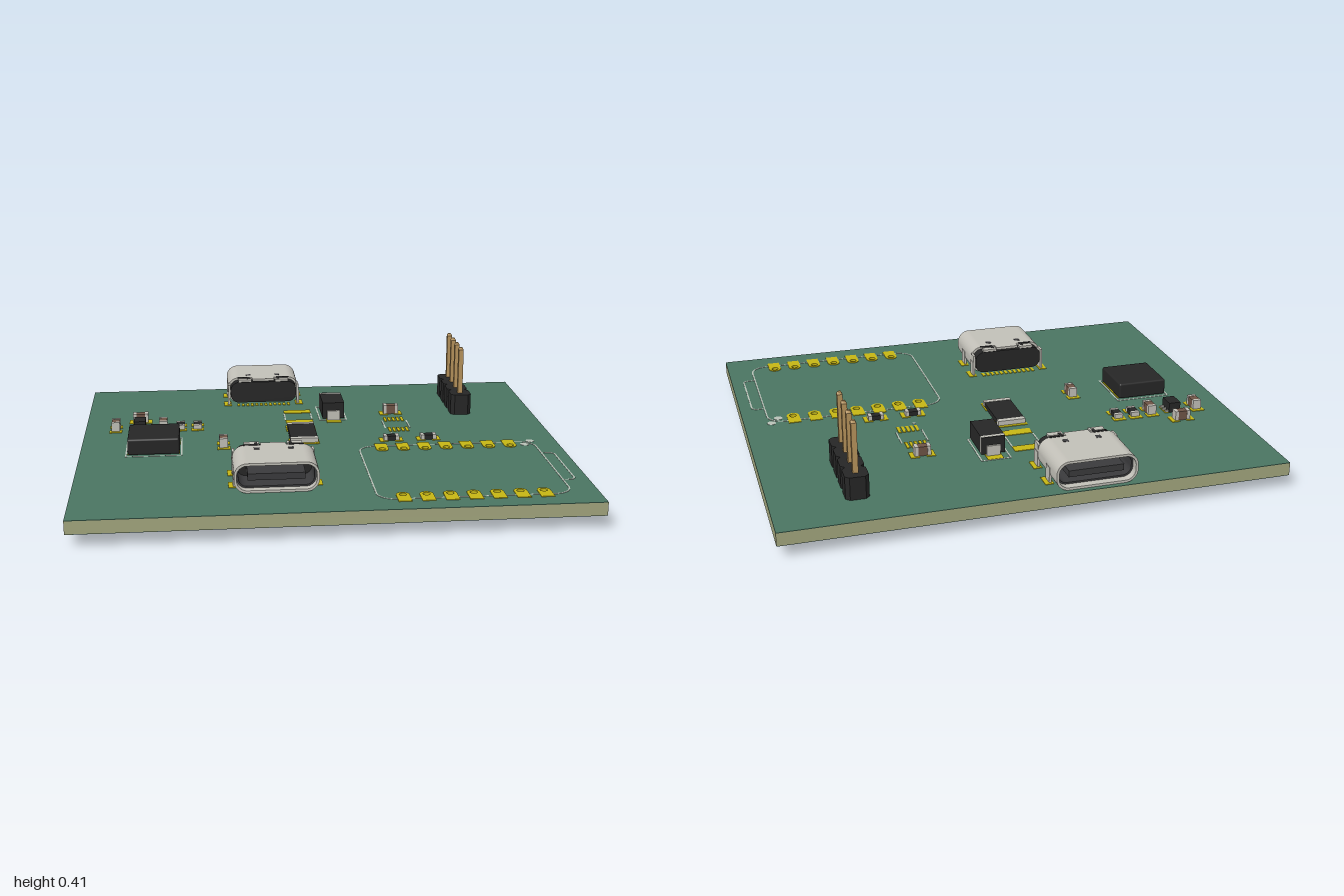
import * as THREE from 'three';
import { RoundedBoxGeometry } from 'three/addons/geometries/RoundedBoxGeometry.js';

const mats = {};
const mat = (c) => (mats[c] ??= new THREE.MeshStandardMaterial({ color: c, side: THREE.DoubleSide }));
const MASK = 0x4a7562, CORE = 0xa3a67e, GOLD = 0xc6b614, SILK = 0xb9c2b8, BLACK = 0x262626,
  METAL = 0xc2c0b8, BROWN = 0x6e5446, BRASS = 0xb8945c, DARK = 0x3a3a3c;
const BOTTOM = 0.053, TOP = 0.107; // board faces

function add(parent, name, geometry, color) {
  const m = new THREE.Mesh(geometry, mat(color));
  m.name = name;
  parent.add(m);
  return m;
}
function box(parent, name, color, x, y, z, w, h, d) {
  const m = add(parent, name, new THREE.BoxGeometry(w, h, d), color);
  m.position.set(x, y, z);
  return m;
}
// flat pad lying on the board, given by its corners
const pad = (p, x0, x1, z0, z1, color = GOLD, name = 'pad') =>
  box(p, name, color, (x0 + x1) / 2, TOP + 0.001, (z0 + z1) / 2, x1 - x0, 0.003, z1 - z0);
// plate from a shape drawn in x and z, hanging down from y
function plate(p, name, shape, y, thick, color) {
  const g = new THREE.ExtrudeGeometry(shape, { depth: thick, bevelEnabled: false, curveSegments: 8 });
  g.rotateX(Math.PI / 2);
  const m = add(p, name, g, color);
  m.position.y = y;
  return m;
}
function group(parent, name, x = 0, y = 0, z = 0) {
  const g = new THREE.Group();
  g.name = name;
  g.position.set(x, y, z);
  parent.add(g);
  return g;
}
function circle(x, z, r) {
  const p = new THREE.Path();
  p.absarc(x, z, r, 0, Math.PI * 2, true);
  return p;
}
function roundRect(w, h, r, cx = 0, cy = 0, Type = THREE.Shape) {
  const s = new Type(), a = w / 2 - r, b = h / 2 - r;
  s.absarc(cx + a, cy + b, r, 0, Math.PI / 2);
  s.absarc(cx - a, cy + b, r, Math.PI / 2, Math.PI);
  s.absarc(cx - a, cy - b, r, Math.PI, Math.PI * 1.5);
  s.absarc(cx + a, cy - b, r, Math.PI * 1.5, Math.PI * 2);
  s.closePath();
  return s;
}
// printed line through points [x, z]
function silkLine(p, pts, w = 0.006) {
  for (let i = 1; i < pts.length; i++) {
    const [ax, az] = pts[i - 1], [bx, bz] = pts[i];
    const m = box(p, 'printedLine', SILK, (ax + bx) / 2, TOP + 0.0005, (az + bz) / 2,
      Math.hypot(bx - ax, bz - az) + w, 0.002, w);
    m.rotation.y = -Math.atan2(bz - az, bx - ax);
  }
}
const silkRect = (p, x0, x1, z0, z1) => silkLine(p, [[x0, z0], [x1, z0], [x1, z1], [x0, z1], [x0, z0]]);

// two-terminal chip with its pads, long axis x unless turned
function chip(parent, name, x, z, { len = 0.066, wid = 0.036, h = 0.042, padLen = 0.1, padWid = 0.054,
  cap = 0.014, color = BROWN, upright = false } = {}) {
  const g = group(parent, name, x, 0, z);
  if (upright) g.rotation.y = Math.PI / 2;
  box(g, 'chipBody', color, 0, TOP + h / 2, 0, len - cap * 2, h - 0.003, wid - 0.002);
  for (const s of [-1, 1]) {
    box(g, 'chipTerminal', METAL, s * (len - cap) / 2, TOP + h / 2, 0, cap, h, wid);
    const inner = len * 0.22;
    const a = s * inner, b = s * padLen / 2;
    pad(g, Math.min(a, b), Math.max(a, b), -padWid / 2, padWid / 2);
  }
}

// connector socket, mouth at local z = 0 facing +z
function socket(parent, name, x, z, turn) {
  const g = group(parent, name, x, 0, z);
  g.rotation.y = turn;
  const cy = 0.168, W = 0.325, H = 0.118, R = 0.05;
  const tube = (nm, w, h, r, t, z0, z1, color) => {
    const s = roundRect(w, h, r);
    if (t) s.holes.push(roundRect(w - 2 * t, h - 2 * t, r - t, 0, 0, THREE.Path));
    const m = add(g, nm, new THREE.ExtrudeGeometry(s, { depth: z1 - z0, bevelEnabled: false, curveSegments: 8 }), color);
    m.position.set(0, cy, z0);
  };
  tube('socketShell', W, H, R, 0.01, -0.222, 0, METAL);
  tube('socketLiner', W - 0.021, H - 0.021, R - 0.0105, 0.007, -0.2, -0.03, DARK);
  tube('socketCore', W - 0.022, H - 0.022, R - 0.011, 0, -0.264, -0.15, BLACK);
  box(g, 'tongue', DARK, 0, cy, -0.085, 0.22, 0.026, 0.14);
  // shell flaps reaching over the back
  box(g, 'rearFlap', METAL, 0, cy + H / 2 - 0.005, -0.235, 0.1, 0.01, 0.03);
  for (const s of [-1, 1]) {
    box(g, 'rearTab', METAL, s * 0.085, cy + H / 2 - 0.005, -0.25, 0.06, 0.01, 0.028);
    box(g, 'sideFlap', METAL, s * (W / 2 - 0.005), cy + 0.004, -0.242, 0.01, 0.06, 0.045);
    box(g, 'topNotch', BLACK, s * 0.09, cy + H / 2, -0.222, 0.056, 0.003, 0.012);
    box(g, 'topNotch', BLACK, s * 0.068, cy + H / 2, -0.236, 0.012, 0.003, 0.03);
    box(g, 'latchSlot', DARK, s * 0.067, cy + H / 2, -0.178, 0.022, 0.002, 0.022);
    for (const lz of [-0.1, -0.24]) {
      box(g, 'mountingLeg', METAL, s * (W / 2 - 0.003), 0.113, lz, 0.01, 0.116, 0.042);
      pad(g, s * 0.165 - 0.017, s * 0.165 + 0.017, lz - 0.032, lz + 0.032);
      box(g, 'lowerPad', GOLD, s * 0.165, BOTTOM - 0.001, lz, 0.026, 0.003, 0.05);
    }
  }
  for (let i = 0; i < 12; i++) {
    const px = (i - 5.5) * 0.021;
    pad(g, px - 0.006, px + 0.006, -0.28, -0.245, GOLD, 'contactPad');
  }
}

export function createModel() {
  const root = new THREE.Group();
  root.name = 'circuitBoard';

  // board: core between two coloured layers, drilled for the module pins
  const holes = [];
  for (let i = 0; i < 7; i++) for (const z of [0.145, 0.69]) holes.push([0.25 + i * 0.0903, z]);
  const outline = () => {
    const s = new THREE.Shape([[-1, -0.837], [1, -0.837], [1, 0.837], [-1, 0.837]].map((p) => new THREE.Vector2(...p)));
    holes.forEach(([x, z]) => s.holes.push(circle(x, z, 0.0145)));
    return s;
  };
  plate(root, 'boardCore', outline(), TOP - 0.002, TOP - BOTTOM - 0.004, CORE);
  plate(root, 'upperLayer', outline(), TOP, 0.002, MASK);
  plate(root, 'lowerLayer', outline(), BOTTOM + 0.002, 0.002, MASK);

  // plated module pads, round on the inner end
  const modulePads = group(root, 'modulePads');
  for (const [x, z] of holes) {
    const s = z < 0.4 ? -1 : 1; // direction of the outer end
    const shape = new THREE.Shape();
    shape.moveTo(x - 0.026, z + s * 0.07);
    shape.lineTo(x + 0.026, z + s * 0.07);
    shape.absarc(x, z, 0.026, 0, Math.PI, s > 0);
    shape.closePath();
    shape.holes.push(circle(x, z, 0.0145));
    plate(modulePads, 'modulePad', shape, TOP + 0.0025, 0.003, GOLD);
    const ring = new THREE.Shape().absarc(x, z, 0.022, 0, Math.PI * 2);
    ring.holes.push(circle(x, z, 0.0145));
    plate(modulePads, 'lowerRing', ring, BOTTOM + 0.001, 0.003, GOLD);
    add(modulePads, 'holeLining', new THREE.CylinderGeometry(0.0142, 0.0142, 0.054, 16, 1, true), GOLD)
      .position.set(x, 0.08, z);
  }

  // printed outlines
  const silk = group(root, 'printedOutlines');
  const frame = roundRect(0.75, 0.634, 0.07, 0.525, 0.416);
  frame.holes.push(roundRect(0.738, 0.622, 0.064, 0.525, 0.416, THREE.Path));
  plate(silk, 'moduleOutline', frame, TOP + 0.0015, 0.002, SILK);
  silkLine(silk, [[0.9, 0.255], [0.935, 0.255], [0.948, 0.27], [0.948, 0.565], [0.935, 0.58], [0.9, 0.58]]);
  for (const [x, z] of [[0.888, 0.095], [0.855, 0.138]])
    plate(silk, 'printedDot', new THREE.Shape().absarc(x, z, 0.018, 0, Math.PI * 2), TOP + 0.0015, 0.002, SILK);
  plate(silk, 'printedDot', new THREE.Shape().absarc(0.32, -0.07, 0.007, 0, Math.PI * 2), TOP + 0.0015, 0.002, SILK);
  silkRect(silk, 0.03, 0.148, -0.49, -0.285);
  silkRect(silk, -0.81, -0.582, -0.085, 0.145);
  for (const x of [-0.123, -0.004]) silkLine(silk, [[x, -0.395], [x, -0.305]]);
  for (const x of [0.304, 0.412]) silkLine(silk, [[x, -0.245], [x, -0.145]]);

  // empty footprints
  const bare = group(root, 'emptyFootprints');
  pad(bare, -0.123, -0.002, -0.445, -0.4);
  pad(bare, -0.123, -0.002, -0.295, -0.25);
  for (let i = 0; i < 5; i++) {
    const x = 0.358 + (i - 2) * 0.0188;
    pad(bare, x - 0.006, x + 0.006, -0.297, -0.242);
    pad(bare, x - 0.006, x + 0.006, -0.146, -0.092);
  }

  socket(root, 'frontSocket', -0.22, 0.622, 0);
  socket(root, 'rearSocket', -0.207, -0.82, Math.PI);

  // pin header: chamfered blocks with pointed square pins
  const header = group(root, 'pinHeader', 0.673, 0, 0);
  for (let i = 0; i < 4; i++) {
    const z = -0.627 + i * 0.091, a = 0.0455, c = 0.03;
    const oct = [[-a, -c], [-c, -a], [c, -a], [a, -c], [a, c], [c, a], [-c, a], [-a, c]];
    plate(header, 'headerBlock', new THREE.Shape(oct.map(([x, y]) => new THREE.Vector2(x, y + z))), 0.2, 0.092, BLACK);
    box(header, 'pin', BRASS, 0, 0.205, z, 0.021, 0.39, 0.021);
    for (const s of [-1, 1]) {
      const tip = add(header, 'pinTip', new THREE.CylinderGeometry(0.008, 0.0148, 0.01, 4).rotateY(Math.PI / 4), BRASS);
      tip.position.set(0, 0.205 + s * 0.2, z);
      if (s < 0) tip.rotation.x = Math.PI;
    }
    box(header, 'pinPad', GOLD, 0, BOTTOM - 0.001, z, 0.05, 0.003, 0.05);
  }

  // inductor
  const inductor = group(root, 'inductor', -0.696, 0, 0.03);
  add(inductor, 'inductorBody', new RoundedBoxGeometry(0.212, 0.068, 0.212, 2, 0.008), BLACK).position.y = TOP + 0.037;
  for (const s of [-1, 1]) box(inductor, 'inductorTerminal', GOLD, s * 0.09, TOP + 0.002, 0, 0.034, 0.004, 0.18);

  // diode with bent leads and a polarity band
  const diode = group(root, 'diode', 0.09, 0, -0.367);
  box(diode, 'diodeBody', BLACK, 0, 0.151, 0, 0.096, 0.072, 0.166);
  box(diode, 'diodeBand', METAL, 0, 0.151, -0.072, 0.097, 0.073, 0.014);
  for (const s of [-1, 1]) {
    box(diode, 'diodeLead', METAL, 0, 0.13, s * 0.087, 0.056, 0.044, 0.008);
    box(diode, 'diodeFoot', METAL, 0, 0.111, s * 0.07, 0.056, 0.008, 0.036);
    const z = s * 0.092;
    pad(diode, -0.032, 0.032, z - 0.03, z + 0.03);
  }

  // small regulator with side pins
  const regulator = group(root, 'regulator', -0.764, 0, -0.232);
  box(regulator, 'regulatorBody', BLACK, 0, 0.13, 0, 0.05, 0.042, 0.07);
  for (const s of [-1, 1]) for (const z of [-0.024, 0, 0.024]) {
    box(regulator, 'regulatorPin', METAL, s * 0.03, 0.113, z, 0.018, 0.008, 0.01);
    pad(regulator, s * 0.031 - 0.011, s * 0.031 + 0.011, z - 0.008, z + 0.008);
  }

  // capacitors and resistors
  const R = { color: BLACK, h: 0.022 }, up = { upright: true };
  chip(root, 'capacitor', 0.358, -0.366);
  chip(root, 'capacitor', -0.764, -0.334);
  for (const [x, z] of [[-0.407, 0.037], [-0.868, -0.232], [-0.663, -0.232]]) chip(root, 'capacitor', x, z, up);
  for (const x of [0.305, 0.464]) chip(root, 'resistor', x, 0.02, R);
  for (const x of [-0.588, -0.514]) chip(root, 'resistor', x, -0.232, { ...R, ...up });
  chip(root, 'powerResistor', -0.066, -0.082,
    { ...R, ...up, len: 0.23, wid: 0.118, padLen: 0.258, padWid: 0.128, cap: 0.022 });
  return root;
}
